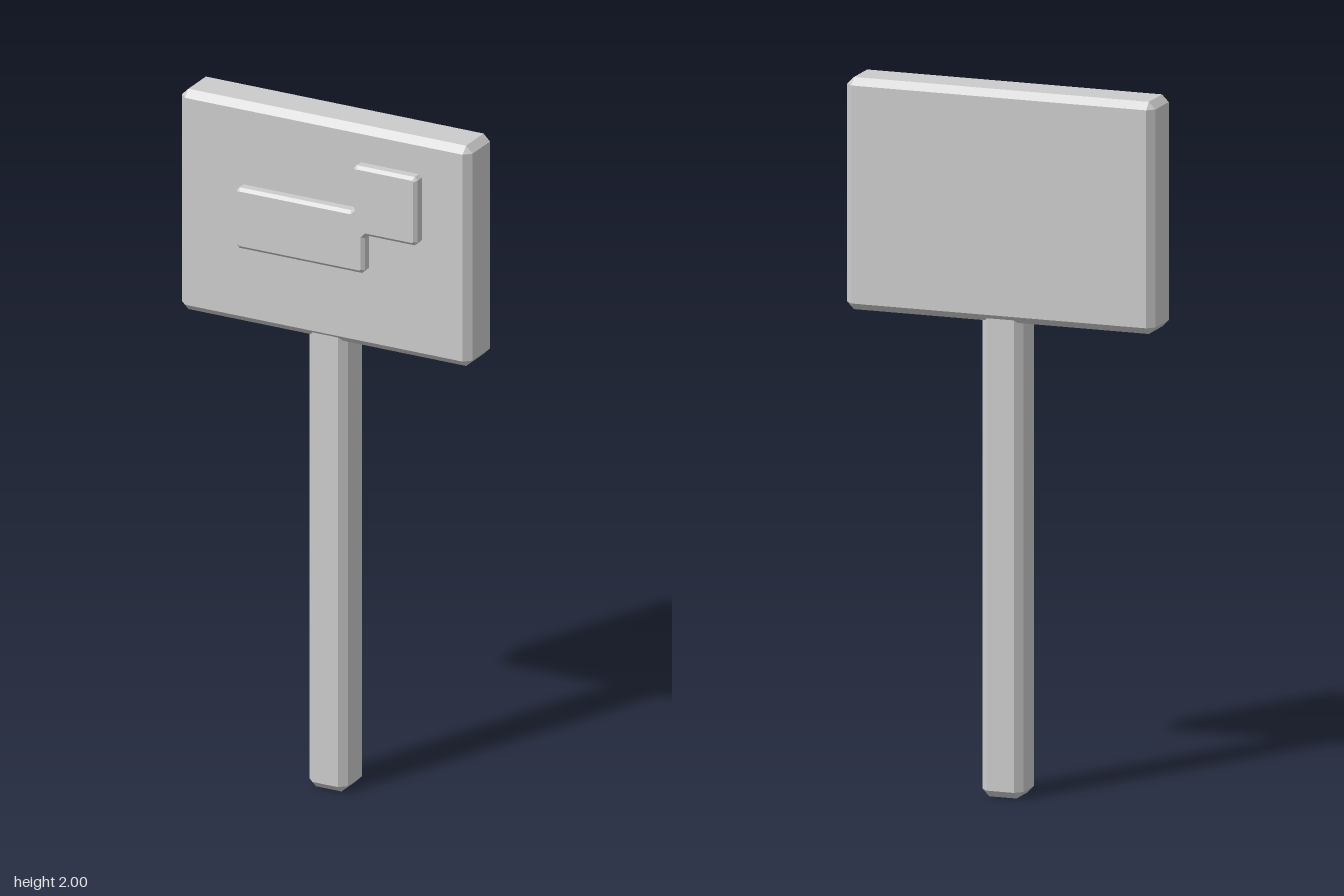
import * as THREE from 'three';
import { ConvexGeometry } from 'three/addons/geometries/ConvexGeometry.js';

// Box given by its low and high corners, with every edge chamfered by c
function chamferBox(lo, hi, c) {
  const points = [];
  for (const sx of [0, 1]) for (const sy of [0, 1]) for (const sz of [0, 1]) {
    const s = [sx, sy, sz];
    for (let full = 0; full < 3; full++) {
      const p = s.map((side, i) => (side ? hi[i] - (i === full ? 0 : c) : lo[i] + (i === full ? 0 : c)));
      points.push(new THREE.Vector3(...p));
    }
  }
  return new ConvexGeometry(points);
}

// Plate extruded from an outline, with chamfered rims
function chamferPlate(outline, z0, z1, c) {
  const n = outline.length;
  const shape = new THREE.Shape();
  outline.forEach(([x, y], i) => {
    // Cut each corner slightly
    for (const [k, [ox, oy]] of [outline[(i + n - 1) % n], outline[(i + 1) % n]].entries()) {
      const len = Math.hypot(ox - x, oy - y);
      const px = x + ((ox - x) / len) * c, py = y + ((oy - y) / len) * c;
      if (i === 0 && k === 0) shape.moveTo(px, py);
      else shape.lineTo(px, py);
    }
  });
  shape.closePath();
  const geometry = new THREE.ExtrudeGeometry(shape, {
    depth: z1 - z0 - 2 * c, bevelEnabled: true, bevelSegments: 1,
    bevelThickness: c, bevelSize: c, bevelOffset: -c,
  });
  return geometry.translate(0, 0, z0 + c);
}

export function createModel() {
  const group = new THREE.Group();
  const grey = new THREE.MeshStandardMaterial({ color: 0xcccccc });
  grey.name = 'light grey';

  const add = (name, geometry) => {
    const mesh = new THREE.Mesh(geometry, grey);
    mesh.name = name;
    group.add(mesh);
  };

  // Square post reaching just into the board
  add('post', chamferBox([-0.06, 0, -0.081], [0.06, 1.39, 0.04], 0.02));

  // Rectangular sign board
  add('signBoard', chamferBox([-0.455, 1.345, -0.093], [0.455, 2, 0.048], 0.02));

  // Raised stepped panel on the front
  add('raisedPanel', chamferPlate([
    [-0.255, 1.583], [0.147, 1.583], [0.147, 1.697], [0.312, 1.697],
    [0.312, 1.9], [0.112, 1.9], [0.112, 1.763], [-0.255, 1.763],
  ], 0.048, 0.09, 0.009));

  return group;
}
